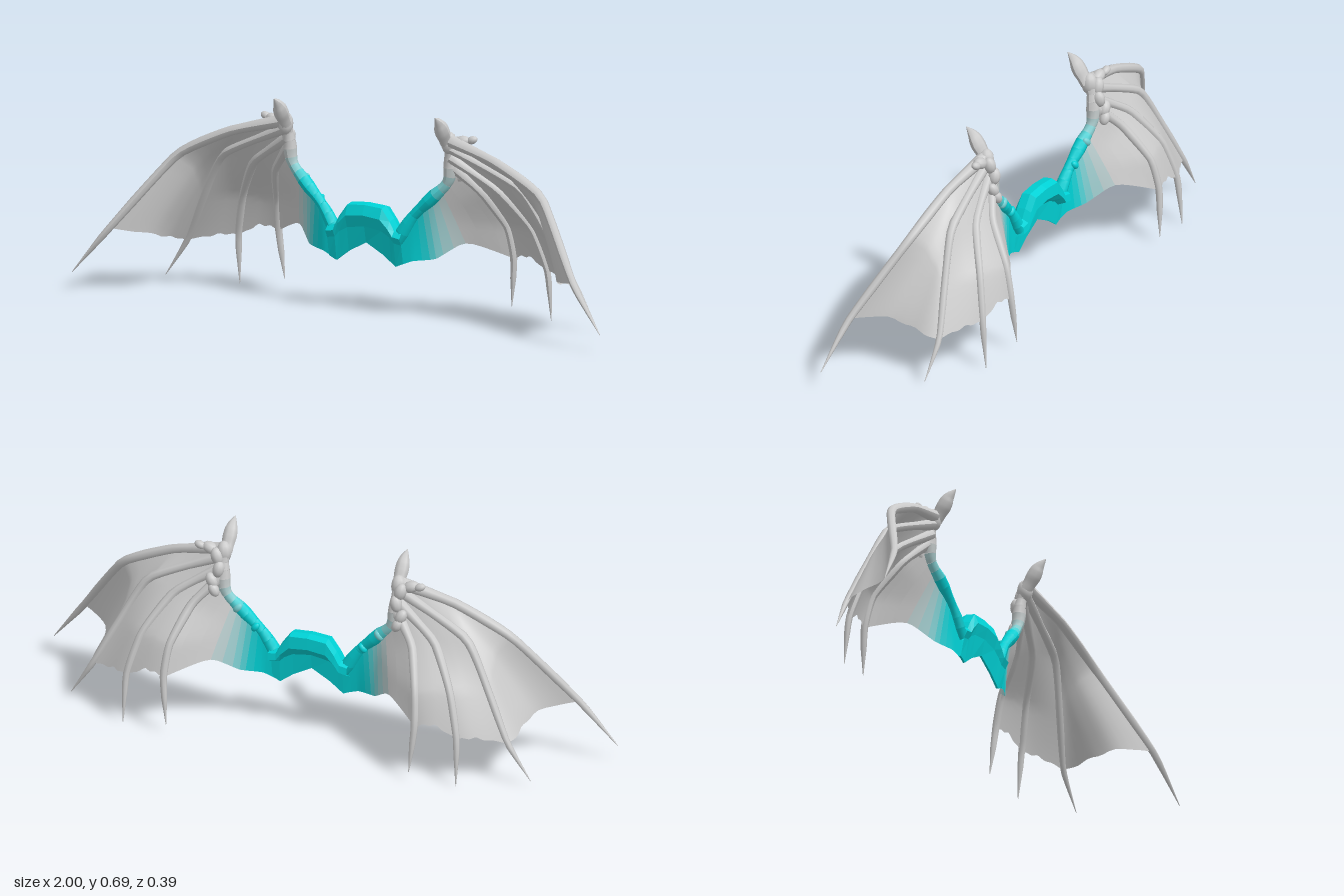
import * as THREE from 'three';

const GREY = new THREE.Color(0xcccccc), TEAL = new THREE.Color(0x00d2d6);
const mat = (color, flatShading = false) =>
  new THREE.MeshStandardMaterial({ color, flatShading, side: THREE.DoubleSide });
const grey = mat(GREY);
// teal near the middle, fading to grey towards the wing
const fade = (k) => TEAL.clone().lerp(GREY, THREE.MathUtils.smoothstep(k, 0, 1));

function add(parent, name, geometry, material) {
  const mesh = new THREE.Mesh(geometry, material);
  mesh.name = name;
  parent.add(mesh);
  return mesh;
}

// surface sampled from point(u, v)
function grid(point, nu, nv) {
  const pos = [], index = [];
  for (let j = 0; j <= nv; j++)
    for (let i = 0; i <= nu; i++) pos.push(...point(i / nu, j / nv).toArray());
  for (let j = 0; j < nv; j++)
    for (let i = 0; i < nu; i++) {
      const a = j * (nu + 1) + i, c = a + nu + 1;
      index.push(a, a + 1, c, a + 1, c + 1, c);
    }
  const g = new THREE.BufferGeometry();
  g.setAttribute('position', new THREE.Float32BufferAttribute(pos, 3));
  g.setIndex(index);
  g.computeVertexNormals();
  return g;
}

// tube whose radius follows evenly spaced values
function taper(curve, radii, rings = 24, sides = 8) {
  const g = new THREE.TubeGeometry(curve, rings, 1, sides);
  const p = g.attributes.position, v = new THREE.Vector3();
  for (let i = 0; i <= rings; i++) {
    const c = curve.getPointAt(i / rings);
    const f = (i / rings) * (radii.length - 1), k = Math.min(Math.floor(f), radii.length - 2);
    const r = THREE.MathUtils.lerp(radii[k], radii[k + 1], f - k);
    for (let j = 0; j <= sides; j++) {
      const n = i * (sides + 1) + j;
      v.fromBufferAttribute(p, n).sub(c).multiplyScalar(r).add(c);
      p.setXYZ(n, v.x, v.y, v.z);
    }
  }
  g.computeVertexNormals();
  return g;
}

// finger paths, wrist to tip; the skin ends at the fourth point
const FINGERS = [
  [[.31, .6, .005], [.5, .55, .028], [.69, .455, .05], [.878, .212, .163], [1, .06, .196]],
  [[.31, .575, 0], [.56, .46, -.028], [.655, .3, -.06], [.735, .145, -.09], [.815, .022, -.085]],
  [[.31, .54, -.01], [.46, .44, -.055], [.545, .31, -.125], [.585, .165, -.162], [.59, 0, -.178]],
  [[.31, .51, -.02], [.39, .42, -.075], [.435, .3, -.155], [.445, .19, -.182], [.43, .028, -.195]],
];
const ARM = [[.115, .245, 0], [.17, .33, -.005], [.24, .4, -.012], [.295, .46, -.02], [.305, .54, -.015], [.31, .6, 0]];
const HEM = [[.11, .16, .004], [.17, .183, -.005], [.24, .193, -.035], [.32, .245, -.1], [.445, .19, -.182]];
// bony knobs: position, radius, sideways lean
const KNOBS = [
  [.31, .59, 0, .027, 0], [.355, .597, -.005, .021, 1.2], [.39, .605, -.012, .014, 1.2],
  [.325, .58, -.022, .022, .3], [.315, .54, -.034, .021, -.2], [.335, .5, -.042, .02, .5],
  [.325, .472, -.05, .018, .5], [.25, .41, -.026, .014, -.7], [.19, .35, -.02, .013, -.7],
];

function makeWing(side) {
  const wing = new THREE.Group();
  wing.name = side > 0 ? 'leftWing' : 'rightWing';
  const P = ([x, y, z]) => new THREE.Vector3(x * side, y, z);
  // low tension keeps the joints angular
  const path = (pts, tension = .25) => new THREE.CatmullRomCurve3(pts.map(P), false, 'catmullrom', tension);
  const fingers = FINGERS.map((pts) => path(pts));

  // finger bones with a swollen knuckle and a pointed claw
  fingers.forEach((c, i) => {
    const s = i ? .9 : 1;
    add(wing, 'finger' + (i + 1), taper(c, [.022, .016, .017, .014, .014, .011, .001].map((r) => r * s)), grey);
  });

  // skin between neighbouring fingers; the outer panel sags inwards behind the leading finger
  for (let i = 0; i < 3; i++) {
    const a = fingers[i], b = fingers[i + 1];
    const dip = [-.01, .03, .08][i], sag = [.07, .012, .008][i];
    add(wing, 'skinPanel' + (i + 1), grid((u, v) => {
      const arc = 4 * u * (1 - u);
      const hem = 1 - dip * arc + .012 * arc * Math.sin(u * 17 + i * 2);
      const t = .75 * v * hem;
      const p = a.getPoint(t).lerp(b.getPoint(t), u);
      p.x -= side * sag * 6.75 * u * (1 - u) ** 2 * v * v;
      p.z -= .008 * arc * v;
      return p;
    }, 14, 16), grey);
  }

  // inner web hanging from the upper arm, and the arm itself, in fading bands
  const arm = path(ARM, .5), hem = path(HEM), last = fingers[3], bands = 14;
  const top = (u) => arm.getPoint(u * .68);
  for (let k = 0; k < bands; k++) {
    const u0 = k / bands, u1 = (k + 1) / bands;
    add(wing, 'innerWeb' + k, grid((s, v) => {
      const u = u0 + (u1 - u0) * s;
      const p = top(u).lerp(hem.getPoint(u), v);
      // the outer border follows the last finger
      return p.lerp(last.getPoint(.75 * v), THREE.MathUtils.smoothstep(u, .68, 1));
    }, 2, 12), mat(fade((u0 - .32) / .45)));

    const pts = [0, .25, .5, .75, 1].map((s) => arm.getPoint(u0 + (u1 - u0) * s));
    const radius = (u) => .02 + .003 * Math.sin(u * 20);
    add(wing, 'arm' + k, taper(new THREE.CatmullRomCurve3(pts), [radius(u0), radius(u1)], 3, 10),
      mat(fade((u0 - .35) / .35)));
  }

  // wrist and forearm knobs
  KNOBS.forEach(([x, y, z, r, lean], i) => {
    const knob = add(wing, 'knob' + i, new THREE.SphereGeometry(r, 10, 8),
      x < .3 ? mat(fade((x - .2) / .14)) : grey);
    knob.position.copy(P([x, y, z]));
    knob.rotation.z = -lean * side;
    knob.scale.set(.95, 1.4, 1);
  });

  // thumb claw, leaf shaped and curving forward
  add(wing, 'thumbClaw', taper(path([[.305, .59, .005], [.305, .63, .033], [.305, .66, .052], [.305, .685, .08]], .5),
    [.022, .022, .025, .023, .014, .001], 16), grey);
  return wing;
}

export function createModel() {
  const model = new THREE.Group();
  model.name = 'wingHarness';

  // arched yoke with a thin skirt: x, top, middle and bottom heights of each cross-section
  const half = [[0, .36, .285, .23], [.065, .355, .275, .195], [.095, .315, .258, .173], [.112, .285, .24, .16], [.14, .28, .235, .173]];
  const rows = [...half.slice(1).reverse().map(([x, ...h]) => [-x, ...h]), ...half];
  const ring = ([x, t, m, b]) => [
    [t - .008, -.035], [t, -.012], [t - .005, .018], [(t + m) / 2, .032], [m, .02],
    [b, .008], [b, .001], [m - .005, -.005], [(t + m) / 2 - .01, -.038], [t - .008, -.035],
  ].map(([y, z]) => new THREE.Vector3(x, y, z));
  const rings = rows.map(ring);
  add(model, 'yoke', grid((u, v) => rings[Math.round(v * 8)][Math.round(u * 9)], 9, 8), mat(TEAL, true));

  model.add(makeWing(1), makeWing(-1));
  return model;
}
